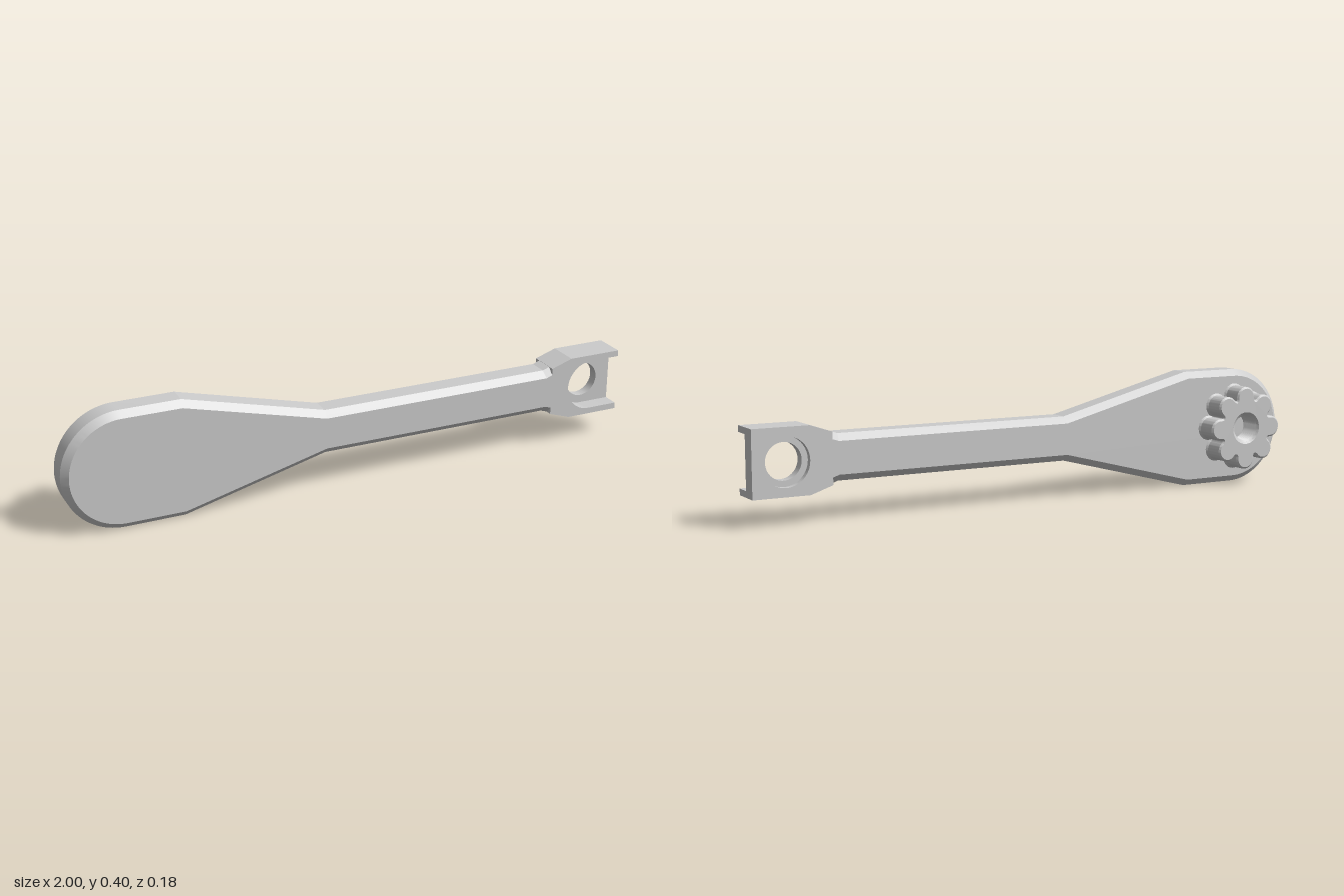
import * as THREE from 'three';
import { toCreasedNormals } from 'three/addons/utils/BufferGeometryUtils.js';

const material = new THREE.MeshStandardMaterial({ color: 0xcccccc, side: THREE.DoubleSide });
const BACK = -0.018, FRONT = 0.092, KNOB_X = -0.8, EYE_X = 0.89;

// Extrudes a shape between two depths, with an optional chamfer kept inside or grown outside the outline
function slab(name, shape, z0, z1, chamfer = 0, offset = -chamfer) {
  const geo = new THREE.ExtrudeGeometry(shape, {
    depth: z1 - z0 - 2 * chamfer, curveSegments: 28, bevelEnabled: chamfer > 0,
    bevelThickness: chamfer, bevelSize: chamfer, bevelOffset: offset, bevelSegments: 1,
  });
  geo.translate(0, 0, z0 + chamfer);
  const mesh = new THREE.Mesh(toCreasedNormals(geo, 0.22), material);
  mesh.name = name;
  return mesh;
}

function circleHole(x, y, r) {
  return new THREE.Path().absarc(x, y, r, 0, Math.PI * 2, true);
}

// Paddle and shaft, widening slightly where it enters the head
function handleShape() {
  const s = new THREE.Shape();
  s.moveTo(-0.6, -0.2);
  s.lineTo(-0.11, -0.075);
  s.lineTo(0.71, -0.075);
  s.lineTo(0.74, -0.085);
  s.lineTo(0.79, -0.085);
  s.lineTo(0.79, 0.085);
  s.lineTo(0.74, 0.085);
  s.lineTo(0.71, 0.075);
  s.lineTo(-0.11, 0.075);
  s.lineTo(-0.6, 0.2);
  s.lineTo(KNOB_X, 0.2);
  s.absarc(KNOB_X, 0, 0.2, Math.PI / 2, Math.PI * 1.5, false);
  s.closePath();
  return s;
}

// Head outline with a round eye of the given radius
function headShape(holeRadius) {
  const s = new THREE.Shape();
  s.moveTo(0.735, -0.084);
  s.lineTo(0.81, -0.109);
  s.lineTo(1, -0.109);
  s.lineTo(1, 0.109);
  s.lineTo(0.81, 0.109);
  s.lineTo(0.735, 0.084);
  s.closePath();
  s.holes.push(circleHole(EYE_X, 0, holeRadius));
  return s;
}

// Front rim of the head: a U-shaped wall open at the end
function rimShape() {
  const s = new THREE.Shape();
  s.moveTo(0.735, -0.084);
  s.lineTo(0.81, -0.109);
  s.lineTo(1, -0.109);
  s.lineTo(1, -0.088);
  s.lineTo(EYE_X, -0.088);
  s.absarc(EYE_X, 0, 0.088, Math.PI * 1.5, Math.PI / 2, true);
  s.lineTo(1, 0.088);
  s.lineTo(1, 0.109);
  s.lineTo(0.81, 0.109);
  s.lineTo(0.735, 0.084);
  s.closePath();
  return s;
}

// Eight round lobes joined by narrow grooves
function knobShape() {
  const s = new THREE.Shape(), lobes = 8, ring = 0.108, r = 0.037;
  for (let i = 0; i < lobes; i++) {
    const a = (i / lobes) * Math.PI * 2, mid = a + Math.PI / lobes;
    const x = KNOB_X + ring * Math.cos(a), y = ring * Math.sin(a);
    const from = a - Math.PI / 2, to = a + Math.PI / 2;
    if (i === 0) s.moveTo(x + r * Math.cos(from), y + r * Math.sin(from));
    s.absarc(x, y, r, from, to, false);
    const next = a + (Math.PI * 2) / lobes;
    s.quadraticCurveTo(
      KNOB_X + 0.094 * Math.cos(mid), 0.094 * Math.sin(mid),
      KNOB_X + ring * Math.cos(next) + r * Math.cos(next - Math.PI / 2),
      ring * Math.sin(next) + r * Math.sin(next - Math.PI / 2));
  }
  s.holes.push(circleHole(KNOB_X, 0, 0.05));
  return s;
}

// Ridged lining of the knob's bore
function thread() {
  const points = [], turns = 6, z0 = -0.086, z1 = BACK;
  for (let i = 0; i <= turns * 2; i++) {
    points.push(new THREE.Vector2(i % 2 ? 0.043 : 0.05, z0 + ((z1 - z0) * i) / (turns * 2)));
  }
  const geo = new THREE.LatheGeometry(points, 40);
  geo.rotateX(Math.PI / 2);
  geo.translate(KNOB_X, 0, 0);
  const mesh = new THREE.Mesh(toCreasedNormals(geo, 0.4), material);
  mesh.name = 'boreThread';
  return mesh;
}

export function createModel() {
  const model = new THREE.Group();
  model.name = 'leverHandle';

  model.add(slab('handle', handleShape(), BACK, FRONT, 0.022));

  // Head: counterbored back, solid web, open rim
  const head = new THREE.Group();
  head.name = 'head';
  head.add(
    slab('headBack', headShape(0.08), BACK, 0.002),
    slab('headWeb', headShape(0.06), 0.002, 0.036),
    slab('headRim', rimShape(), 0.036, FRONT));
  model.add(head);

  // Lobed knob on the back of the paddle
  const knob = new THREE.Group();
  knob.name = 'knob';
  knob.add(
    slab('knobBody', knobShape(), -0.092, 0, 0.006),
    slab('knobFoot', knobShape(), BACK - 0.006, BACK + 0.006, 0.006, 0),
    thread());
  model.add(knob);

  model.position.y = 0.2;
  const root = new THREE.Group();
  root.add(model);
  return root;
}
